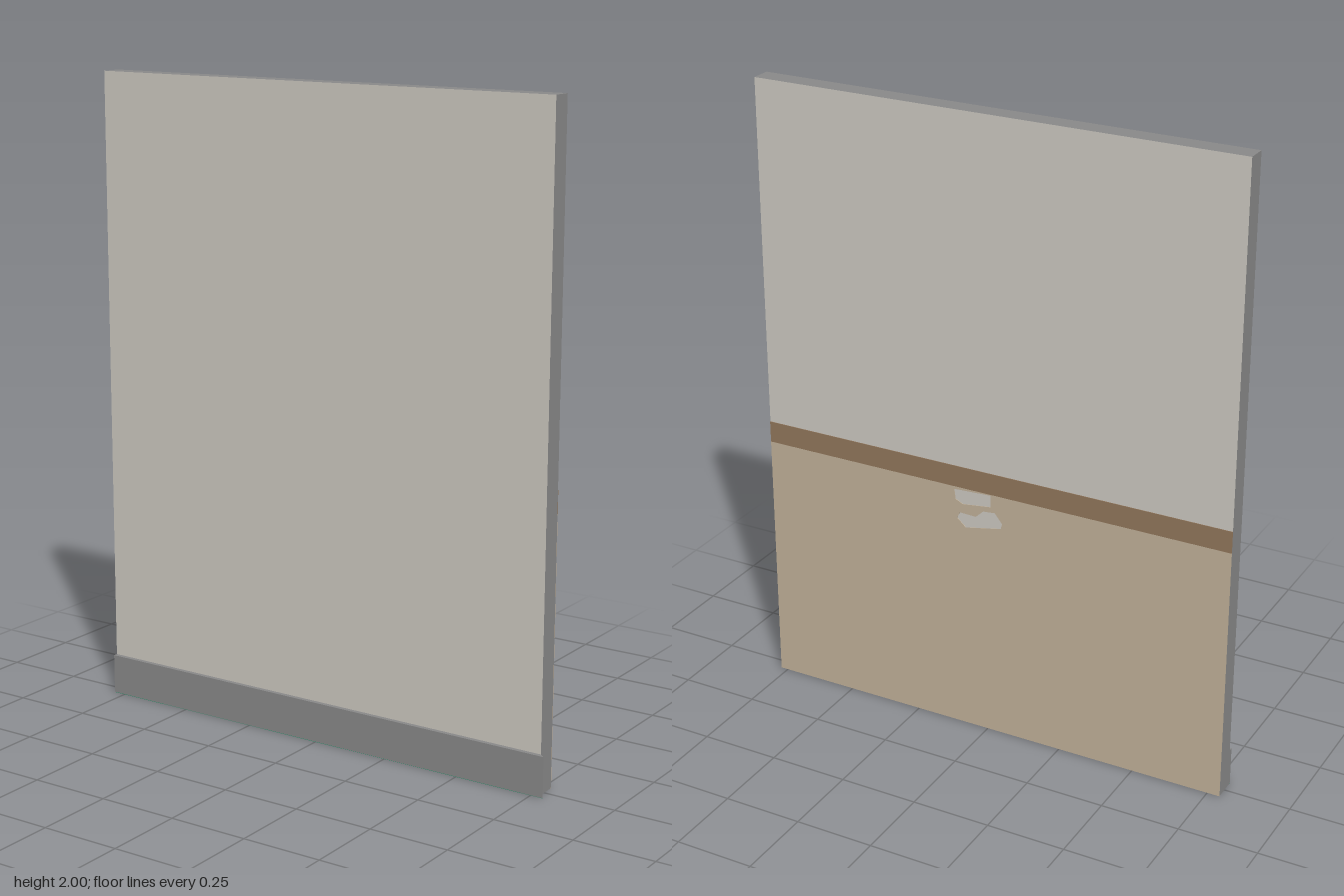
import * as THREE from 'three';

const mat = (name, color) => {
  const m = new THREE.MeshStandardMaterial({ color });
  m.name = name;
  return m;
};

export function createModel() {
  const group = new THREE.Group();
  const plaster = mat('pale plaster', 0xccc8c0);
  const grey = mat('grey trim', 0x888888);
  const tan = mat('tan paint', 0xc0b098);
  const brown = mat('brown border', 0x91765b);
  const green = mat('green underside', 0x2a7a5c);

  const left = 0.774, right = -0.79, front = 0.026, back = -0.038;
  const width = left - right, midX = (left + right) / 2;

  const add = (name, geometry, material) => {
    const mesh = new THREE.Mesh(geometry, material);
    mesh.name = name;
    group.add(mesh);
    return mesh;
  };

  // Wall slab: grey edges, green underside, plaster faces
  add('wall', new THREE.BoxGeometry(width, 2, front - back),
    [grey, grey, grey, green, plaster, plaster])
    .position.set(midX, 1, (front + back) / 2);

  // Skirting board, mitred at the left end
  const plan = new THREE.Shape([
    [right, -front], [right, -0.04], [0.79, -0.04], [left, -front],
  ].map(([x, y]) => new THREE.Vector2(x, y)));
  const skirting = new THREE.ExtrudeGeometry(plan, { depth: 0.125, bevelEnabled: false });
  skirting.rotateX(-Math.PI / 2);
  add('skirtingBoard', skirting, grey);

  // Green underside of the skirting
  const under = new THREE.ShapeGeometry(plan);
  under.rotateX(Math.PI / 2);
  under.scale(1, 1, -1);
  const underMaterial = green;
  underMaterial.side = THREE.DoubleSide;
  add('skirtingUnderside', under, underMaterial).position.y = -0.001;

  // Lower back paint with two worn patches showing the plaster
  const dado = 0.824, borderTop = 0.893, plate = 0.002;
  const paint = new THREE.Shape([
    [right, 0], [left, 0], [left, dado], [right, dado],
  ].map(([x, y]) => new THREE.Vector2(x, y)));
  const patches = [
    [[0.115, 0.815], [-0.01, 0.821], [-0.01, 0.782], [0.085, 0.77], [0.11, 0.782]],
    [[0.095, 0.74], [0.04, 0.738], [0.015, 0.762], [-0.025, 0.766],
      [-0.05, 0.735], [-0.045, 0.717], [0.075, 0.693], [0.105, 0.72]],
  ];
  for (const patch of patches) {
    paint.holes.push(new THREE.Path(patch.map(([x, y]) => new THREE.Vector2(x, y))));
  }
  add('lowerBackPaint', new THREE.ExtrudeGeometry(paint, { depth: plate, bevelEnabled: false }), tan)
    .position.z = back - plate;

  // Border stripe above the paint
  add('borderStripe', new THREE.BoxGeometry(width, borderTop - dado, plate), brown)
    .position.set(midX, (borderTop + dado) / 2, back - plate / 2);

  return group;
}
